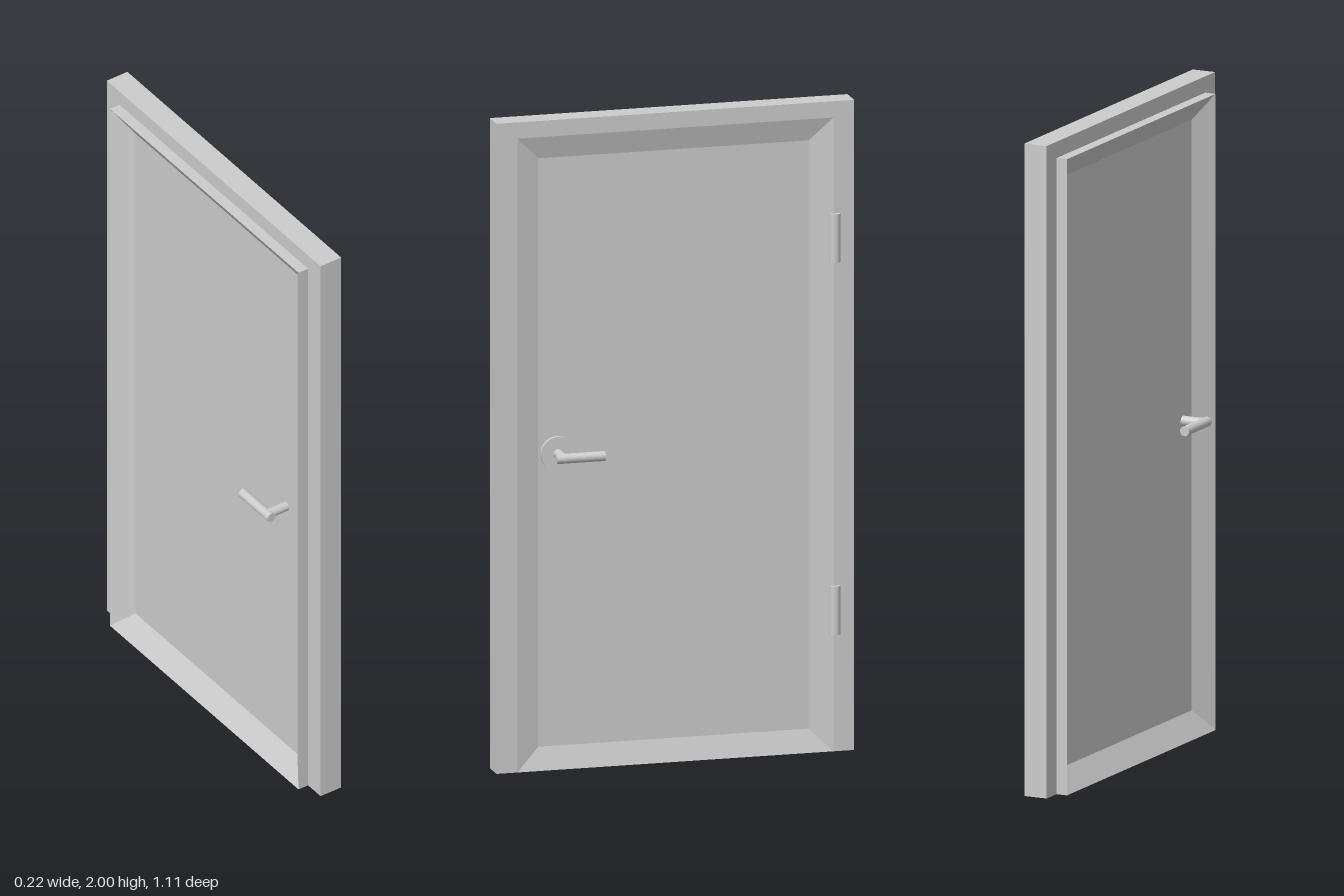
import * as THREE from 'three';

const material = new THREE.MeshStandardMaterial({ color: 0xcccccc });

function addMesh(parent, name, geometry, x = 0, y = 0, z = 0) {
  const mesh = new THREE.Mesh(geometry, material);
  mesh.name = name;
  mesh.position.set(x, y, z);
  parent.add(mesh);
  return mesh;
}

// Door leaf: four rectangular rings, with a sloped recess on each face
function leafGeometry() {
  const ring = (x, z, y0, y1) => [[x, y0, z], [x, y0, -z], [x, y1, -z], [x, y1, z]];
  const points = [
    ...ring(0.02, 0.42, 0.07, 1.88),
    ...ring(0.04, 0.49, 0, 1.95),
    ...ring(-0.07, 0.49, 0, 1.95),
    ...ring(-0.025, 0.42, 0.07, 1.88),
  ];
  const index = [0, 1, 2, 0, 2, 3, 12, 14, 13, 12, 15, 14];
  for (let r = 0; r < 3; r++) {
    for (let i = 0; i < 4; i++) {
      const j = (i + 1) % 4;
      const a = r * 4 + i, b = a + 4, c = r * 4 + 4 + j, d = r * 4 + j;
      index.push(a, b, c, a, c, d);
    }
  }
  const indexed = new THREE.BufferGeometry();
  indexed.setAttribute('position', new THREE.Float32BufferAttribute(points.flat(), 3));
  indexed.setIndex(index);
  const geometry = indexed.toNonIndexed();
  geometry.computeVertexNormals();
  return geometry;
}

// Frame: two jambs and a header, open at the floor
function frameGeometry() {
  const outline = [
    [-0.555, 0], [-0.49, 0], [-0.49, 1.95], [0.49, 1.95],
    [0.49, 0], [0.555, 0], [0.555, 2], [-0.555, 2],
  ].map(([x, y]) => new THREE.Vector2(x, y));
  const geometry = new THREE.ExtrudeGeometry(new THREE.Shape(outline), { depth: 0.075, bevelEnabled: false });
  geometry.rotateY(Math.PI / 2);
  geometry.translate(-0.035, 0, 0);
  return geometry;
}

export function createModel() {
  const door = new THREE.Group();
  door.name = 'door';

  addMesh(door, 'frame', frameGeometry());
  addMesh(door, 'leaf', leafGeometry());

  // Hinge barrels, half sunk into the front face
  for (const y of [0.435, 1.58]) {
    addMesh(door, 'hinge', new THREE.CylinderGeometry(0.017, 0.017, 0.15, 24), 0.038, y, -0.495);
  }

  // Handle: round plate, spindle through the leaf, a lever on each side
  const handle = new THREE.Group();
  handle.name = 'handle';
  handle.position.set(0, 0.97, 0.362);
  door.add(handle);
  addMesh(handle, 'plate', new THREE.CylinderGeometry(0.052, 0.052, 0.015, 40).rotateZ(Math.PI / 2), 0.025);
  addMesh(handle, 'spindle', new THREE.CylinderGeometry(0.015, 0.015, 0.19, 24).rotateZ(Math.PI / 2));
  for (const side of [1, -1]) {
    addMesh(handle, 'lever', new THREE.CylinderGeometry(0.015, 0.015, 0.15, 24).rotateX(Math.PI / 2), side * 0.095, 0, -0.052);
  }
  return door;
}
